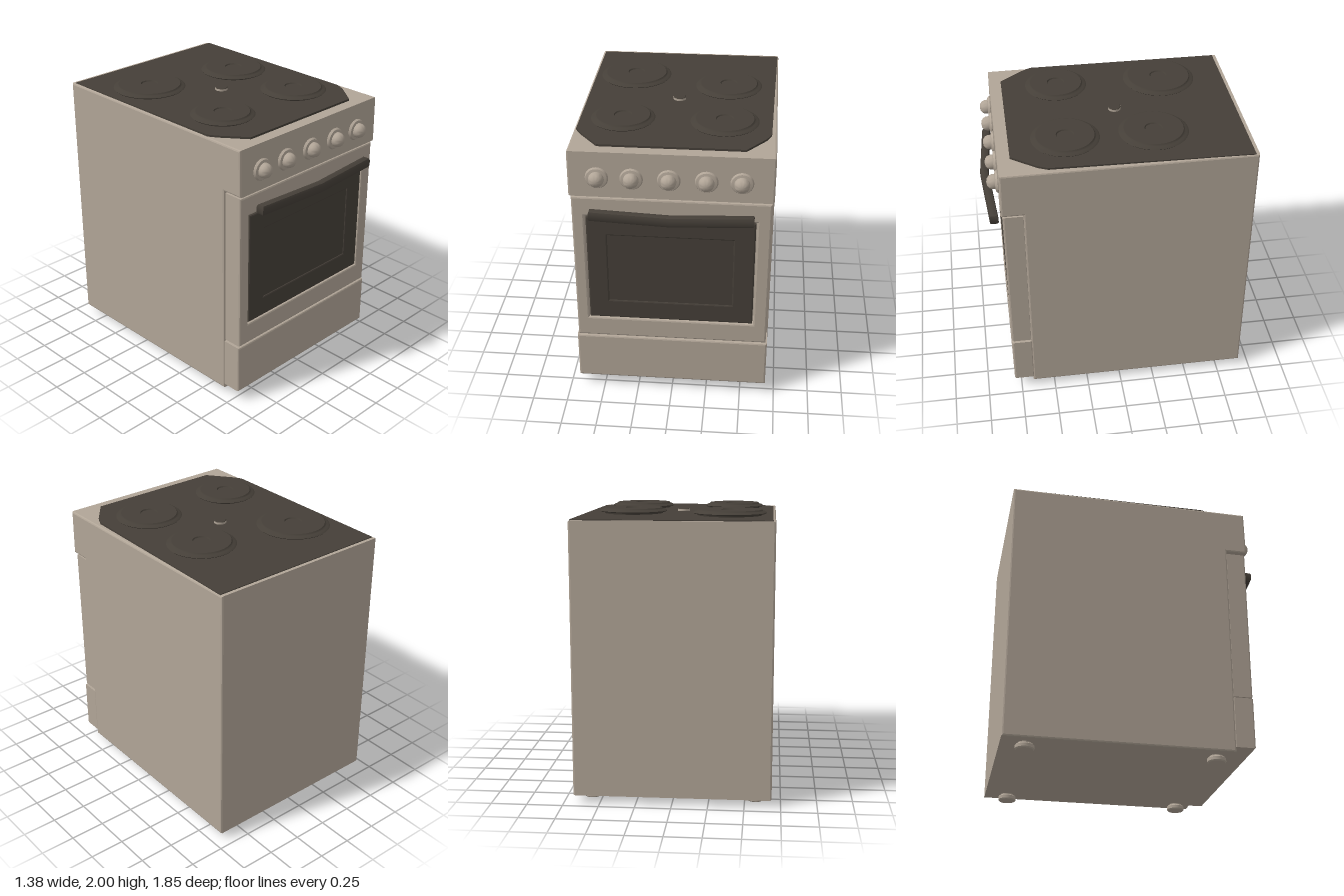
import * as THREE from 'three';
import { toCreasedNormals } from 'three/addons/utils/BufferGeometryUtils.js';

export function createModel() {
  const model = new THREE.Group();
  model.name = 'cooker';
  const enamel = new THREE.MeshStandardMaterial({ color: 0xb1a597 });
  enamel.name = 'beige enamel';
  const dark = new THREE.MeshStandardMaterial({ color: 0x453f38 });
  dark.name = 'dark brown';

  const add = (name, geometry, material, x = 0, y = 0, z = 0) => {
    const mesh = new THREE.Mesh(geometry, material);
    mesh.name = name;
    mesh.position.set(x, y, z);
    model.add(mesh);
    return mesh;
  };
  const outline = (pts) => new THREE.Shape(pts.map(([a, b]) => new THREE.Vector2(a, b)));
  const rect = (x0, y0, x1, y1) => outline([[x0, y0], [x1, y0], [x1, y1], [x0, y1]]);
  const withHole = (shape, hole) => {
    shape.holes.push(hole);
    return shape;
  };
  // Slab of exact total depth whose bevel stays inside the outline
  const slab = (shape, depth, bevel) => new THREE.ExtrudeGeometry(shape, {
    depth: depth - 2 * bevel, bevelEnabled: bevel > 0, bevelThickness: bevel,
    bevelSize: bevel, bevelOffset: -bevel, bevelSegments: 2,
  }).translate(0, 0, bevel);
  const turned = (pts, segments) => toCreasedNormals(
    new THREE.LatheGeometry(pts.map(([r, y]) => new THREE.Vector2(r, y)), segments), 0.6);

  // Body with overhanging control panel, drawn as a side profile (z, y)
  const profile = outline([[-0.925, 0.05], [0.66, 0.05], [0.66, 1.615],
    [0.81, 1.615], [0.805, 1.945], [-0.925, 1.955]]);
  add('body', slab(profile, 1.375, 0.012).rotateY(-Math.PI / 2), enamel, 0.6875);

  // Drawer and oven door
  add('drawer', slab(rect(-0.685, 0.085, 0.685, 0.45), 0.15, 0.012), enamel, 0, 0, 0.65);
  const door = withHole(rect(-0.675, 0.46, 0.675, 1.6), rect(-0.59, 0.615, 0.58, 1.455));
  add('ovenDoor', slab(door, 0.15, 0.012), enamel, 0, 0, 0.65);
  const frame = withHole(rect(-0.583, 0.622, 0.573, 1.448), rect(-0.44, 0.77, 0.425, 1.305));
  add('doorPanel', slab(frame, 0.13, 0.01), dark, 0, 0, 0.668);
  add('ovenWindow', slab(rect(-0.45, 0.76, 0.435, 1.315), 0.1, 0), dark, 0, 0, 0.69);
  add('doorBacking', slab(rect(-0.6, 0.6, 0.6, 1.47), 0.03, 0), enamel, 0, 0, 0.655);

  // Handle, bent forward at the middle (plan outline: x, -z)
  const bar = outline([[-0.55, -0.885], [0, -0.925], [0.56, -0.885],
    [0.56, -0.825], [0, -0.865], [-0.55, -0.825]]);
  add('handle', toCreasedNormals(slab(bar, 0.078, 0.022).rotateX(-Math.PI / 2), 0.7), dark, 0, 1.46, 0);

  // Control knobs
  const knob = turned([[0, -0.01], [0.07, -0.01], [0.078, 0.005], [0.07, 0.018], [0.052, 0.022],
    [0.05, 0.045], [0.042, 0.062], [0.025, 0.075], [0, 0.08]], 28).rotateX(Math.PI / 2);
  [-0.49, -0.26, -0.012, 0.237, 0.47].forEach((x) => add('knob', knob, enamel, x, 1.76, 0.807));

  // Dark hob plate with cut front corners
  const hob = outline([[-0.67, 0.9], [-0.67, -0.49], [-0.635, -0.55], [-0.5, -0.72],
    [0.49, -0.72], [0.62, -0.55], [0.652, -0.48], [0.68, 0.9]]);
  add('hobPlate', slab(hob, 0.015, 0).rotateX(-Math.PI / 2), dark, 0, 1.945, 0);

  // Hotplates: sloped rim, groove and a dished centre
  const hotplates = [[-0.367, -0.427, 0.258], [0.33, -0.27, 0.24], [-0.37, 0.328, 0.221], [0.33, 0.335, 0.235]];
  hotplates.forEach(([x, z, r]) => {
    const plate = turned([[0, -0.025], [r * 0.85, -0.025], [r * 0.88, 0], [r - 0.006, 0],
      [r, 0.006], [r - 0.012, 0.015], [r - 0.026, 0.017], [r - 0.03, 0.02], [r - 0.036, 0.028],
      [0.062, 0.028], [0.057, 0.02], [0, 0.02]], 48);
    add('hotplate', plate, dark, x, 1.972, z);
  });

  // Small centre button with dark cap
  add('centreButton', new THREE.CylinderGeometry(0.045, 0.045, 0.03, 24), enamel, -0.012, 1.96, -0.05);
  add('centreButtonCap', new THREE.CylinderGeometry(0.04, 0.045, 0.005, 24), dark, -0.012, 1.977, -0.05);

  // Feet
  const foot = turned([[0, 0], [0.058, 0], [0.065, 0.008], [0.065, 0.03], [0.058, 0.038],
    [0.045, 0.04], [0.045, 0.06], [0, 0.06]], 24);
  for (const x of [-0.573, 0.573]) for (const z of [0.55, -0.76]) add('foot', foot, enamel, x, 0, z);

  return model;
}
